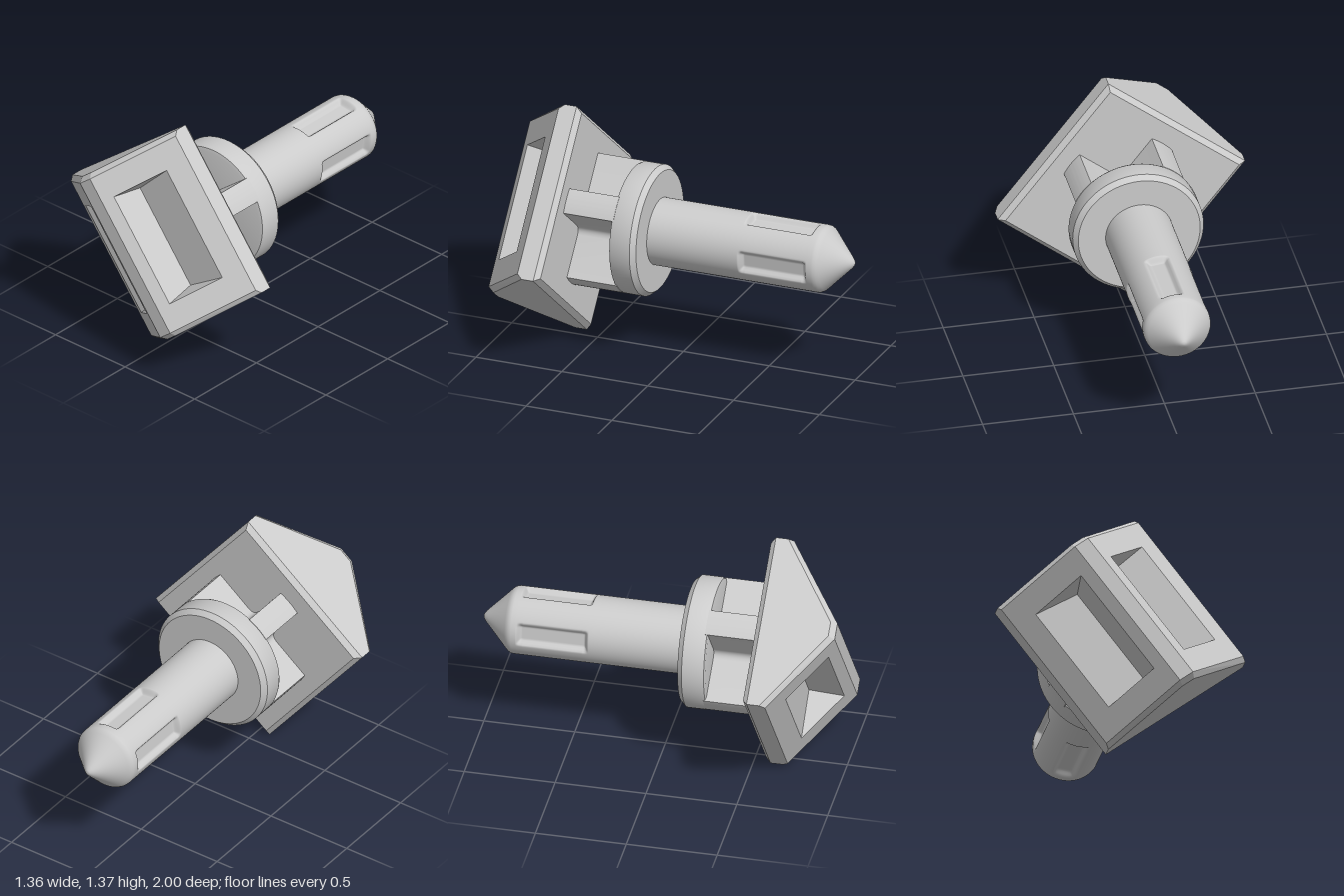
import * as THREE from 'three';
import { mergeVertices, toCreasedNormals } from 'three/addons/utils/BufferGeometryUtils.js';

const mat = new THREE.MeshStandardMaterial({ color: 0xcccccc });

function part(name, geometry) {
  const mesh = new THREE.Mesh(geometry, mat);
  mesh.name = name;
  return mesh;
}

// Lathe around z; profile entries are [radius, z], running from front to back
function latheZ(profile, segments) {
  const g = new THREE.LatheGeometry(profile.map(([r, z]) => new THREE.Vector2(r, -z)), segments);
  return g.rotateX(-Math.PI / 2);
}

// Gabled head with a wedge-shaped pocket in each slope: one quarter, mirrored
function headGeometry() {
  // half cross-sections [u, z] from ridge to back, before and after the gable chamfer
  const mid = [[0, 1], [0.045, 1], [0.477, 0.69], [0.477, 0.592], [0.45, 0.565], [0, 0.565]];
  const end = [[0, 0.967], [0.04, 0.967], [0.477, 0.66], [0.477, 0.592], [0.477, 0.592], [0, 0.592]];
  const vMid = 0.468, vEnd = 0.495;
  const at = ([u, z], v) => [u, v, z];
  const roof = (u) => 1 - (u - 0.045) * 0.7176;
  const slope = (u0, v0, u1, v1) =>
    [[u0, v0, roof(u0)], [u1, v0, roof(u1)], [u1, v1, roof(u1)], [u0, v1, roof(u0)]];

  // gable wall, long walls and chamfers
  const faces = [end.map((p) => at(p, vEnd))];
  for (let i = 0; i < 5; i++) {
    const [a, b] = [mid[i], mid[i + 1]];
    if (i !== 1) faces.push([at(a, 0), at(b, 0), at(b, vMid), at(a, vMid)]);
    faces.push([at(a, vMid), at(b, vMid), at(end[i + 1], vEnd), at(end[i], vEnd)]);
  }

  // slope around the pocket, then the pocket's wall, floor and tapered end
  const u0 = 0.104, u1 = 0.37, vRim = 0.325, zFloor = roof(u1);
  const foot = [u0, 0, zFloor], corner = [u0, 0.295, zFloor], toe = [0.32, 0.295, zFloor];
  const low = [u1, vRim, zFloor], high = [u0, vRim, roof(u0)];
  faces.push(
    slope(0.045, 0, u0, vRim), slope(u1, 0, 0.477, vRim), slope(0.045, vRim, 0.477, vMid),
    [foot, corner, high, [u0, 0, roof(u0)]],
    [foot, [u1, 0, zFloor], low, toe, corner],
    [corner, toe, low, high],
  );

  const pos = [];
  for (const su of [1, -1]) for (const sv of [1, -1]) for (const f of faces) {
    const c = f.map(([u, v, z]) => [u * su, v * sv, z]);
    for (let i = 1; i < c.length - 1; i++) {
      const [p, q] = su * sv > 0 ? [c[i], c[i + 1]] : [c[i + 1], c[i]];
      pos.push(...c[0], ...p, ...q);
    }
  }
  const g = new THREE.BufferGeometry();
  g.setAttribute('position', new THREE.Float32BufferAttribute(pos, 3));
  g.computeVertexNormals();
  return g;
}

// Four-armed neck with rounded inner corners and arm ends on a circle
function neckGeometry() {
  const R = 0.36, h = 0.07, f = 0.05, half = Math.asin(h / R);
  const s = new THREE.Shape();
  for (let k = 0; k < 4; k++) {
    const a = k * Math.PI / 2, c = Math.cos(a), n = Math.sin(a);
    const at = (x, y) => [x * c - y * n, x * n + y * c];
    if (k === 0) s.moveTo(h + f, -h);
    s.absarc(0, 0, R, a - half, a + half, false);
    s.lineTo(...at(h + f, h));
    s.quadraticCurveTo(...at(h, h), ...at(h, h + f));
  }
  const g = new THREE.ExtrudeGeometry(s, { depth: 0.295, bevelEnabled: false, curveSegments: 10 });
  return toCreasedNormals(g.translate(0, 0, 0.275), 0.6);
}

// Pointed pin with four shallow slots pressed into its side
function pinGeometry() {
  const R = 0.185, profile = [[R, 0.16], [R, 0], [R, -0.2], [R, -0.36]];
  for (let i = 0; i <= 10; i++) profile.push([R, -0.385 - i * 0.004]);
  for (let i = 1; i < 6; i++) profile.push([R, -0.425 - i * 0.055]);
  for (let i = 0; i <= 10; i++) profile.push([R, -0.75 - i * 0.004]);
  profile.push([R, -0.815], [0.183, -0.828], [0.176, -0.841], [0.165, -0.853],
    [0.11, -0.906], [0.05, -0.965], [0.03, -0.984], [0.014, -0.996], [0, -1]);
  let g = latheZ(profile, 160);
  const p = g.attributes.position, step = THREE.MathUtils.smoothstep;
  for (let i = 0; i < p.count; i++) {
    const x = p.getX(i), y = p.getY(i), z = p.getZ(i), r = Math.hypot(x, y);
    if (z > -0.38 || z < -0.795) continue;
    const a = Math.atan2(y, x);
    const off = a - (Math.floor(a / (Math.PI / 2)) + 0.5) * Math.PI / 2;
    const across = 1 - step(Math.abs(r * Math.sin(off)), 0.046, 0.068);
    const along = step(z, -0.79, -0.76) * (1 - step(z, -0.415, -0.388));
    const k = THREE.MathUtils.lerp(r, 0.148 / Math.cos(off), across * along) / r;
    p.setXY(i, x * k, y * k);
  }
  g.deleteAttribute('uv');
  g.deleteAttribute('normal');
  g = mergeVertices(g, 1e-5);
  g.computeVertexNormals();
  return g;
}

export function createModel() {
  const model = new THREE.Group();
  model.name = 'gabledPin';
  const body = new THREE.Group();
  body.name = 'body';
  body.add(part('head', headGeometry()));
  body.add(part('neck', neckGeometry()));
  // flange with chamfered back edge
  const flange = latheZ([[0, 0.29], [0.335, 0.29], [0.353, 0.285], [0.36, 0.27],
    [0.36, 0.165], [0.335, 0.137], [0, 0.137]], 96);
  body.add(part('flange', toCreasedNormals(flange, 0.6)));
  body.add(part('pin', pinGeometry()));
  // whole body is rolled about its long axis
  body.rotation.z = THREE.MathUtils.degToRad(38);
  body.position.y = 0.685;
  model.add(body);
  return model;
}
